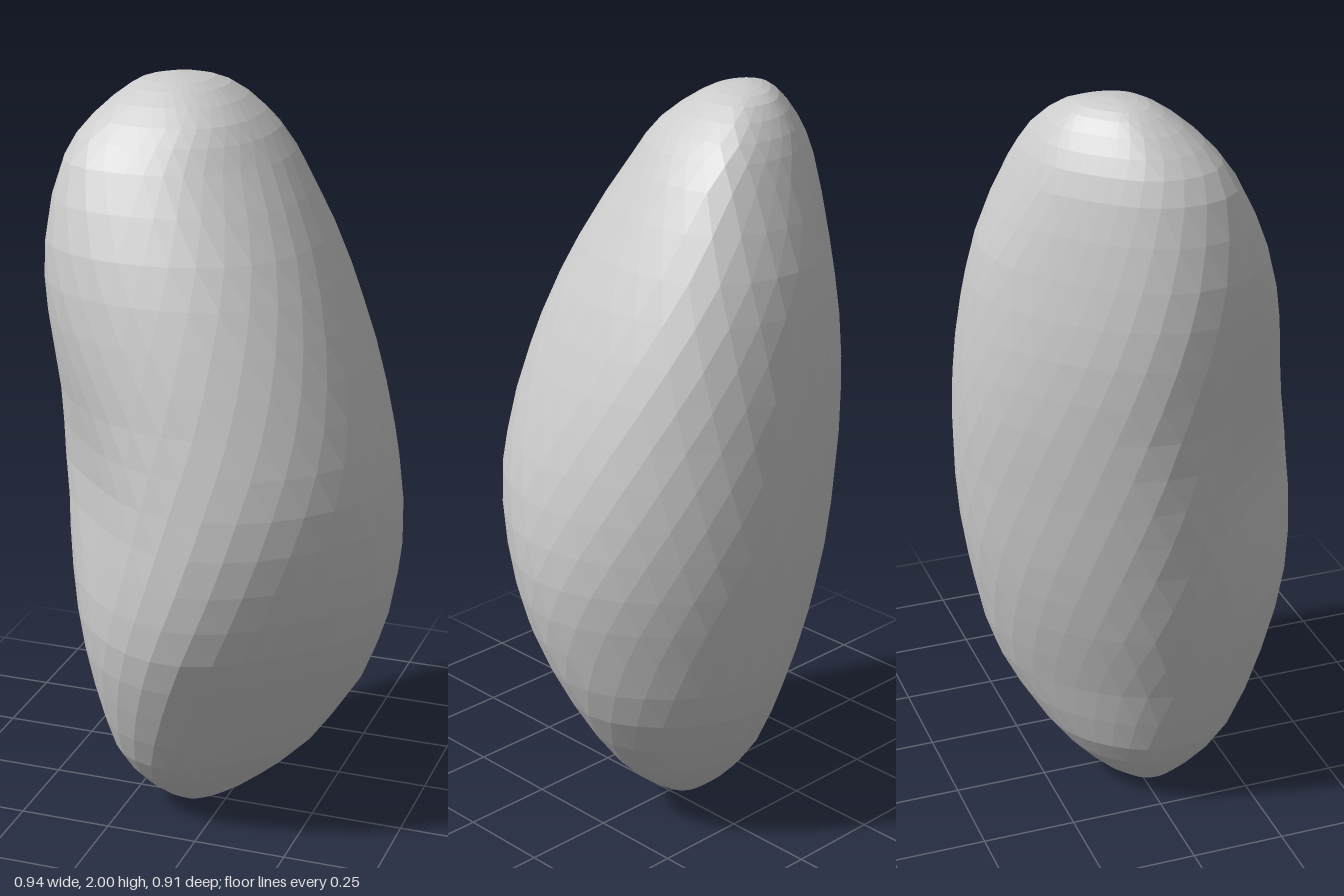
import * as THREE from 'three';

// Outline reach of each level: y, then +x, -x, +z, -z and the diagonals (+x-z), (-x+z), (+x+z), (-x-z)
const LEVELS = [
  [0, -0.08, 0.08, 0, 0, -0.057, 0.057, -0.057, 0.057],
  [0.02, 0, 0.16, 0.07, 0.06, 0.05, 0.12, 0, 0.11],
  [0.08, 0.1, 0.22, 0.15, 0.14, 0.14, 0.21, 0.06, 0.17],
  [0.2, 0.24, 0.29, 0.25, 0.245, 0.25, 0.31, 0.16, 0.25],
  [0.4, 0.38, 0.35, 0.365, 0.365, 0.365, 0.37, 0.27, 0.31],
  [0.6, 0.45, 0.4, 0.445, 0.42, 0.42, 0.4, 0.37, 0.37],
  [0.8, 0.477, 0.435, 0.462, 0.45, 0.455, 0.405, 0.42, 0.41],
  [1, 0.455, 0.46, 0.438, 0.462, 0.465, 0.395, 0.435, 0.43],
  [1.2, 0.4, 0.467, 0.395, 0.458, 0.455, 0.4, 0.4, 0.44],
  [1.4, 0.325, 0.48, 0.343, 0.437, 0.43, 0.425, 0.335, 0.43],
  [1.6, 0.235, 0.472, 0.277, 0.4, 0.375, 0.435, 0.235, 0.4],
  [1.8, 0.125, 0.425, 0.18, 0.32, 0.3, 0.38, 0.1, 0.36],
  [1.9, 0.045, 0.36, 0.1, 0.27, 0.23, 0.29, 0.03, 0.32],
  [1.97, -0.04, 0.28, 0.01, 0.21, 0.12, 0.18, -0.07, 0.27],
  [1.993, -0.11, 0.23, -0.045, 0.155, 0.03, 0.11, -0.13, 0.23],
  [2, -0.17, 0.17, -0.1, 0.1, -0.05, 0.05, -0.19, 0.19],
];
const d = Math.SQRT1_2;
const DIRS = [[1, 0], [-1, 0], [0, 1], [0, -1], [d, -d], [-d, d], [d, d], [-d, -d]];
const SEGMENTS = 32, STEPS = 2;

// Smooth interpolation between neighbouring levels
function levelAt(t) {
  const last = LEVELS.length - 1;
  const i = Math.min(Math.floor(t), last - 1), f = t - i;
  const row = (k) => LEVELS[Math.max(0, Math.min(last, k))];
  return LEVELS[0].map((_, c) => {
    const [a, b, e, g] = [row(i - 1)[c], row(i)[c], row(i + 1)[c], row(i + 2)[c]];
    return b + 0.5 * f * (e - a + f * (2 * a - 5 * b + 4 * e - g + f * (3 * (b - e) + g - a)));
  });
}

// Rounded ring point that stays within the eight reaches
function ringPoint(level, angle) {
  const [y, ...reach] = level;
  const cx = (reach[0] - reach[1]) / 2, cz = (reach[2] - reach[3]) / 2;
  const nx = Math.cos(angle), nz = Math.sin(angle);
  let sum = 0;
  DIRS.forEach(([dx, dz], i) => {
    const h = Math.max(0.004, reach[i] - cx * dx - cz * dz);
    sum += (Math.max(0, nx * dx + nz * dz) / h) ** 6;
  });
  // shallow hollow on the inner side of the bend
  const facing = Math.max(0, (nz - nx) * d);
  const dent = 0.075 * facing ** 8 * Math.exp(-(((y - 0.95) / 0.25) ** 2));
  const r = 1.035 * sum ** (-1 / 6) * (1 - dent);
  return [cx + nx * r, y, cz + nz * r];
}

// Staggered rings between two tips
function beanGeometry() {
  const positions = [], index = [];
  const bottom = LEVELS[0], top = LEVELS[LEVELS.length - 1];
  const rings = (LEVELS.length - 1) * STEPS - 1;
  positions.push(bottom[1], bottom[0], bottom[3]);
  for (let j = 1; j <= rings; j++) {
    const level = levelAt(j / STEPS);
    for (let s = 0; s < SEGMENTS; s++) {
      positions.push(...ringPoint(level, ((s + (j % 2) / 2) / SEGMENTS) * Math.PI * 2));
    }
  }
  positions.push(top[1], top[0], top[3]);
  const tip = 1 + rings * SEGMENTS;
  const at = (j, s) => 1 + j * SEGMENTS + (s % SEGMENTS);
  for (let s = 0; s < SEGMENTS; s++) {
    index.push(0, at(0, s), at(0, s + 1));
    for (let j = 0; j < rings - 1; j++) {
      const [a, b, c, e] = [at(j, s), at(j, s + 1), at(j + 1, s), at(j + 1, s + 1)];
      // the diagonal alternates with each row
      if (j % 2 === 0) index.push(a, c, e, a, e, b);
      else index.push(a, c, b, b, c, e);
    }
    index.push(at(rings - 1, s), tip, at(rings - 1, s + 1));
  }
  const geometry = new THREE.BufferGeometry();
  geometry.setAttribute('position', new THREE.Float32BufferAttribute(positions, 3));
  geometry.setIndex(index);
  geometry.computeVertexNormals();
  return geometry;
}

export function createModel() {
  const group = new THREE.Group();
  group.name = 'bean';
  const body = new THREE.Mesh(
    beanGeometry(),
    new THREE.MeshStandardMaterial({ color: 0xcccccc, flatShading: true }),
  );
  body.name = 'beanBody';
  group.add(body);
  return group;
}
